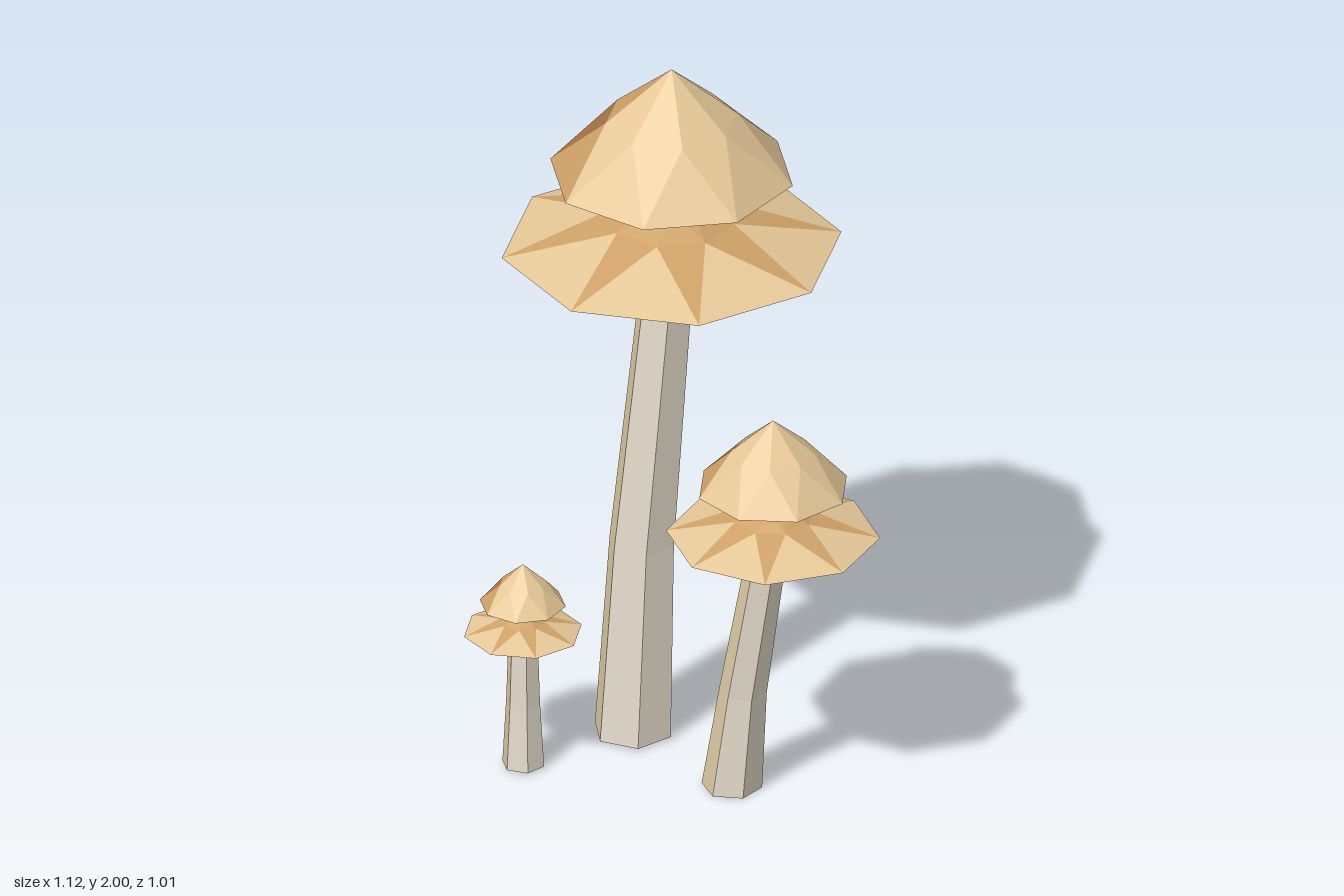
import * as THREE from 'three';

const mat = (name, color, side = THREE.FrontSide) =>
  Object.assign(new THREE.MeshStandardMaterial({ color, side }), { name });

const MATERIALS = [
  mat('cap tan', 0xe6c898),
  mat('cap ochre', 0xcfa268),
  mat('cap brown', 0xa87544),
  mat('stem grey', 0xe6ddcd, THREE.DoubleSide),
  mat('stem cream', 0xdccaa5, THREE.DoubleSide),
];
const [TAN, OCHRE, BROWN, GREY, CREAM] = MATERIALS.keys();
const DEG = Math.PI / 180;

// Ring of n points; angles run from +x towards +z
function ring(n, r, y, startDeg, cx = 0, cz = 0) {
  return Array.from({ length: n }, (_, i) => {
    const a = startDeg * DEG + (i / n) * Math.PI * 2;
    return [cx + r * Math.cos(a), y, cz + r * Math.sin(a)];
  });
}

// Collects flat triangles by material and turns them into a faceted mesh
class Facets {
  constructor() { this.buckets = MATERIALS.map(() => []); }

  tri(m, a, b, c, flip = false) {
    this.buckets[m].push(...a, ...(flip ? c : b), ...(flip ? b : c));
  }

  // Zigzag band from an outer ring to an inner ring turned half a step further
  star(outer, inner, flip, edgeColor, wedgeColor) {
    const n = outer.length;
    for (let i = 0; i < n; i++) {
      this.tri(edgeColor(i), outer[(i + 1) % n], outer[i], inner[i], flip);
      this.tri(wedgeColor(i), inner[i], outer[i], inner[(i + n - 1) % n], flip);
    }
  }

  // Fan closing a ring at a point
  fan(points, tip, flip, color) {
    const n = points.length;
    for (let i = 0; i < n; i++) this.tri(color(i), points[(i + 1) % n], points[i], tip, flip);
  }

  mesh(name) {
    const geo = new THREE.BufferGeometry();
    const pos = [];
    const used = [];
    this.buckets.forEach((b, m) => {
      if (!b.length) return;
      geo.addGroup(pos.length / 3, b.length / 3, used.length);
      used.push(MATERIALS[m]);
      pos.push(...b);
    });
    geo.setAttribute('position', new THREE.Float32BufferAttribute(pos, 3));
    geo.computeVertexNormals();
    const mesh = new THREE.Mesh(geo, used);
    mesh.name = name;
    return mesh;
  }
}

const tan = () => TAN;
const ochre = () => OCHRE;

// Angular distance from the weathered back corner of the cap
const fromBack = (deg) => Math.abs(((deg - 225 + 540) % 360) - 180);

// Pointed upper cap with an inward sloping underside
function upperCap(rot, sr, sy) {
  const f = new Facets();
  const r = (radius, y, off) => ring(8, radius * sr, y * sy, rot + off);
  const rim = r(0.33, 0.215, 0);
  const shoulder = r(0.177, 0.378, 22.5);
  const lower = (deg) => (fromBack(deg) < 50 ? BROWN : fromBack(deg) < 75 ? OCHRE : TAN);
  f.star(rim, shoulder, false, (i) => lower(i * 45 + 22.5), (i) => lower(i * 45));
  f.fan(shoulder, [0, 0.525 * sy, 0], false, (i) => (fromBack(i * 45 + 45) < 50 ? OCHRE : TAN));
  const gills = r(0.17, 0.165, 22.5);
  const neck = r(0.075, 0.13, 45);
  f.star(rim, gills, true, tan, tan);
  f.star(gills, neck, true, tan, tan);
  f.fan(neck, [0, 0.115 * sy, 0], true, tan);
  return f.mesh('upperCap');
}

// Wide flat-bottomed skirt with ochre wedges running to its corners
function skirt(rot, sr, sy) {
  const f = new Facets();
  const r = (radius, y, off) => ring(8, radius * sr, y * sy, rot + off);
  const rim = r(0.456, -0.004, 22.5);
  const fold = r(0.17, 0.08, 45);
  const neck = r(0.07, 0.13, 67.5);
  f.star(rim, fold, false, tan, ochre);
  f.star(fold, neck, false, ochre, ochre);
  f.fan(neck, [0, 0.14 * sy, 0], false, ochre);
  f.fan(rim, [0, -0.004 * sy, 0], true, tan);
  return f.mesh('skirt');
}

// Six-sided tapering hollow stem, open below, through sections of [x, y, z, radius]
function stem(sections, rot, creamFaces) {
  const f = new Facets();
  const rings = sections.map(([x, y, z, r]) => ring(6, r, y, rot, x, z));
  for (let s = 0; s + 1 < rings.length; s++) {
    for (let i = 0; i < 6; i++) {
      const j = (i + 1) % 6;
      const m = creamFaces.includes(i) ? CREAM : GREY;
      f.tri(m, rings[s][i], rings[s + 1][i], rings[s + 1][j]);
      f.tri(m, rings[s][i], rings[s + 1][j], rings[s][j]);
    }
  }
  return f.mesh('stem');
}

const MUSHROOMS = [
  {
    name: 'tallMushroom', cap: [-0.076, 1.475, -0.077], rot: -1.5, sr: 1, sy: 1,
    stem: [[-0.175, 0.01, -0.05, 0.109], [-0.153, 0.58, -0.06, 0.092], [-0.078, 1.475, -0.073, 0.072]],
    stemRot: 8, cream: [2],
  },
  {
    name: 'middleMushroom', cap: [0.283, 0.812, 0.23], rot: 12, sr: 0.623, sy: 0.648,
    stem: [[0.155, 0.005, 0.172, 0.081], [0.188, 0.3, 0.183, 0.064], [0.275, 0.812, 0.225, 0.052]],
    stemRot: -6, cream: [2, 5],
  },
  {
    name: 'smallMushroom', cap: [-0.408, 0.414, 0.21], rot: -5, sr: 0.35, sy: 0.378,
    stem: [[-0.408, 0.01, 0.205, 0.058], [-0.408, 0.2, 0.207, 0.047], [-0.407, 0.414, 0.21, 0.04]],
    stemRot: 3, cream: [2],
  },
];

export function createModel() {
  const model = new THREE.Group();
  model.name = 'mushroomCluster';
  for (const m of MUSHROOMS) {
    const group = new THREE.Group();
    group.name = m.name;
    const head = new THREE.Group();
    head.name = 'head';
    head.position.set(...m.cap);
    head.add(upperCap(m.rot, m.sr, m.sy), skirt(m.rot, m.sr, m.sy));
    group.add(head, stem(m.stem, m.stemRot, m.cream));
    model.add(group);
  }
  return model;
}
